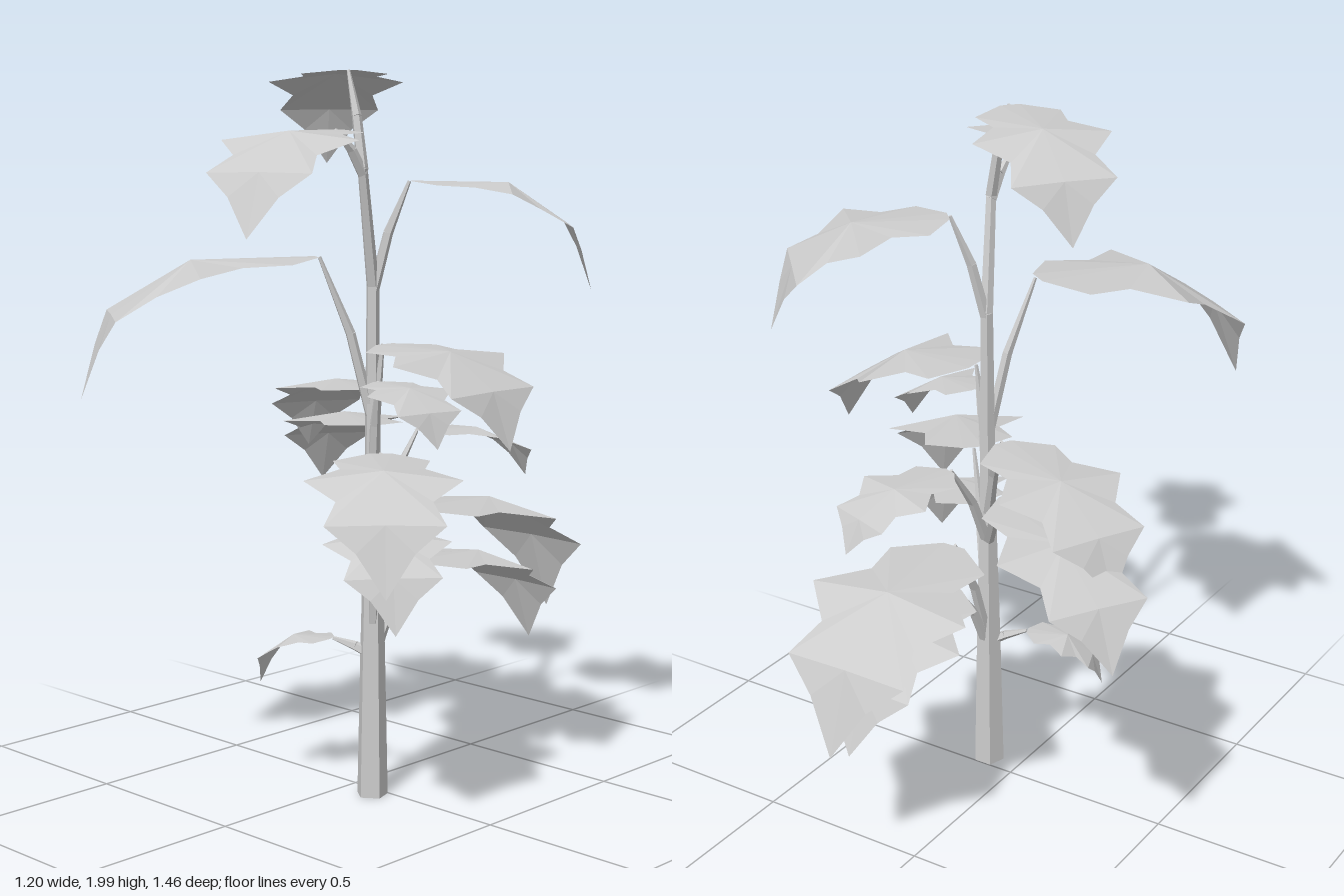
import * as THREE from 'three';

const leafMat = new THREE.MeshStandardMaterial({ color: 0xcccccc, flatShading: true, side: THREE.DoubleSide });
const stemMat = new THREE.MeshStandardMaterial({ color: 0xcccccc, flatShading: true });
const vec = (x, y, z) => new THREE.Vector3(x, y, z);

// Half outline of a lobed leaf: [fraction of length, half width, fraction of droop]
const HALF = [
  [0.01, 0.035, 0], [0.15, 0.157, 0.03], [0.35, 0.135, 0.05],
  [0.54, 0.25, 0.1], [0.7, 0.15, 0.24], [0.87, 0.187, 0.4],
];
const NOTCH = [0.93, 0.09, 0.62];

// Drooping leaf from its stalk end to its tip, folded along radiating creases
function leafGeometry(base, tip, width) {
  const along = tip.clone().sub(base).setY(0);
  const side = vec(along.z, 0, -along.x).normalize().multiplyScalar(width);
  const point = ([s, w, d], sign = 1) => base.clone()
    .addScaledVector(along, s)
    .addScaledVector(side, w * sign)
    .setY(THREE.MathUtils.lerp(base.y, tip.y, d));
  const center = point([0.54, 0, 0.01]), bend = point([0.87, 0, 0.39]);
  const left = HALF.map((p) => point(p, 1)), right = HALF.map((p) => point(p, -1));
  const corners = [];
  const fan = (hub, rim) => {
    for (let i = 0; i + 1 < rim.length; i++) corners.push(hub, rim[i], rim[i + 1]);
  };
  // Blade, then the steep end lobe
  fan(center, [bend, ...right.slice().reverse(), ...left, bend]);
  fan(bend, [left[5], point(NOTCH, 1), tip, point(NOTCH, -1), right[5]]);
  const geo = new THREE.BufferGeometry().setFromPoints(corners);
  geo.computeVertexNormals();
  return geo;
}

// Tapered five-sided stem through a list of points with a radius at each
function stem(name, points, radii) {
  const group = new THREE.Group();
  group.name = name;
  for (let i = 0; i + 1 < points.length; i++) {
    const dir = points[i + 1].clone().sub(points[i]);
    const mesh = new THREE.Mesh(
      new THREE.CylinderGeometry(radii[i + 1], radii[i], dir.length(), 5), stemMat);
    mesh.name = name + 'Segment';
    mesh.position.copy(points[i]).addScaledVector(dir, 0.5);
    mesh.quaternion.setFromUnitVectors(vec(0, 1, 0), dir.normalize());
    group.add(mesh);
  }
  return group;
}

// Trunk is straight to the fork, then leans forward
const FORK = 1.42, TRUNK_TOP = 1.74;
function trunkPoint(y) {
  const lean = Math.max(0, (y - FORK) / (TRUNK_TOP - FORK));
  return vec(0.1 + 0.03 * lean, y, 0.038 + 0.072 * lean);
}

// Stalk leaving the trunk at a given height, bent midway, ending in one leaf
function branch(name, height, base, tip, width) {
  const group = new THREE.Group();
  group.name = name + 'Branch';
  const root = trunkPoint(height);
  const bend = root.clone().lerp(base, 0.42);
  bend.y = THREE.MathUtils.lerp(root.y, base.y, 0.54);
  const leaf = new THREE.Mesh(leafGeometry(base, tip, width), leafMat);
  leaf.name = name + 'Leaf';
  group.add(stem(name + 'Stalk', [root, bend, base], [0.016, 0.014, 0.005]), leaf);
  return group;
}

export function createModel() {
  const model = new THREE.Group();
  model.name = 'plant';

  // Thick trunk narrowing into the main shoot
  model.add(stem('trunk', [0, 0.42, 0.85, FORK, TRUNK_TOP].map(trunkPoint), [0.045, 0.036, 0.024, 0.018, 0.014]));

  // Top leaves
  model.add(
    branch('crown', 1.73, vec(0.06, 1.99, 0.09), vec(-0.31, 1.74, -0.2), 0.75),
    branch('upperFront', 1.72, vec(0.12, 1.835, 0.2), vec(0.35, 1.58, 0.73), 0.73),
    branch('upperBackLeft', 1.4, vec(0.17, 1.7, -0.03), vec(0.53, 1.41, -0.36), 0.85),
    branch('largeFrontRight', 1.05, vec(0.02, 1.5, 0.16), vec(-0.35, 1.13, 0.68), 1),
  );

  // Middle leaves
  model.add(
    branch('midLeft', 0.95, vec(0.13, 1.265, 0.03), vec(0.57, 1.02, 0.02), 0.9),
    branch('midLeftSmall', 0.9, vec(0.16, 1.17, 0.08), vec(0.42, 1.02, 0.13), 0.55),
    branch('midBackRight', 0.8, vec(-0.03, 1.115, -0.09), vec(-0.52, 0.88, -0.33), 0.75),
    branch('outerBackRight', 0.72, vec(-0.09, 1, -0.16), vec(-0.6, 0.75, -0.47), 0.75),
    branch('midBack', 0.72, vec(0.11, 1.01, -0.13), vec(0.23, 0.86, -0.46), 0.58),
    branch('midFrontLeft', 0.5, vec(0.18, 0.98, 0.09), vec(0.52, 0.69, 0.43), 0.82),
  );

  // Low leaves
  model.add(
    branch('lowFrontLeft', 0.42, vec(0.18, 0.8, 0.1), vec(0.46, 0.57, 0.33), 0.68),
    branch('largeBack', 0.4, vec(0.1, 0.785, -0.13), vec(0.1, 0.41, -0.73), 1),
    branch('lowBack', 0.38, vec(0.12, 0.64, -0.11), vec(0.13, 0.34, -0.61), 0.83),
    branch('lowestRight', 0.4, vec(0, 0.44, 0.09), vec(-0.21, 0.29, 0.17), 0.42),
  );
  return model;
}
